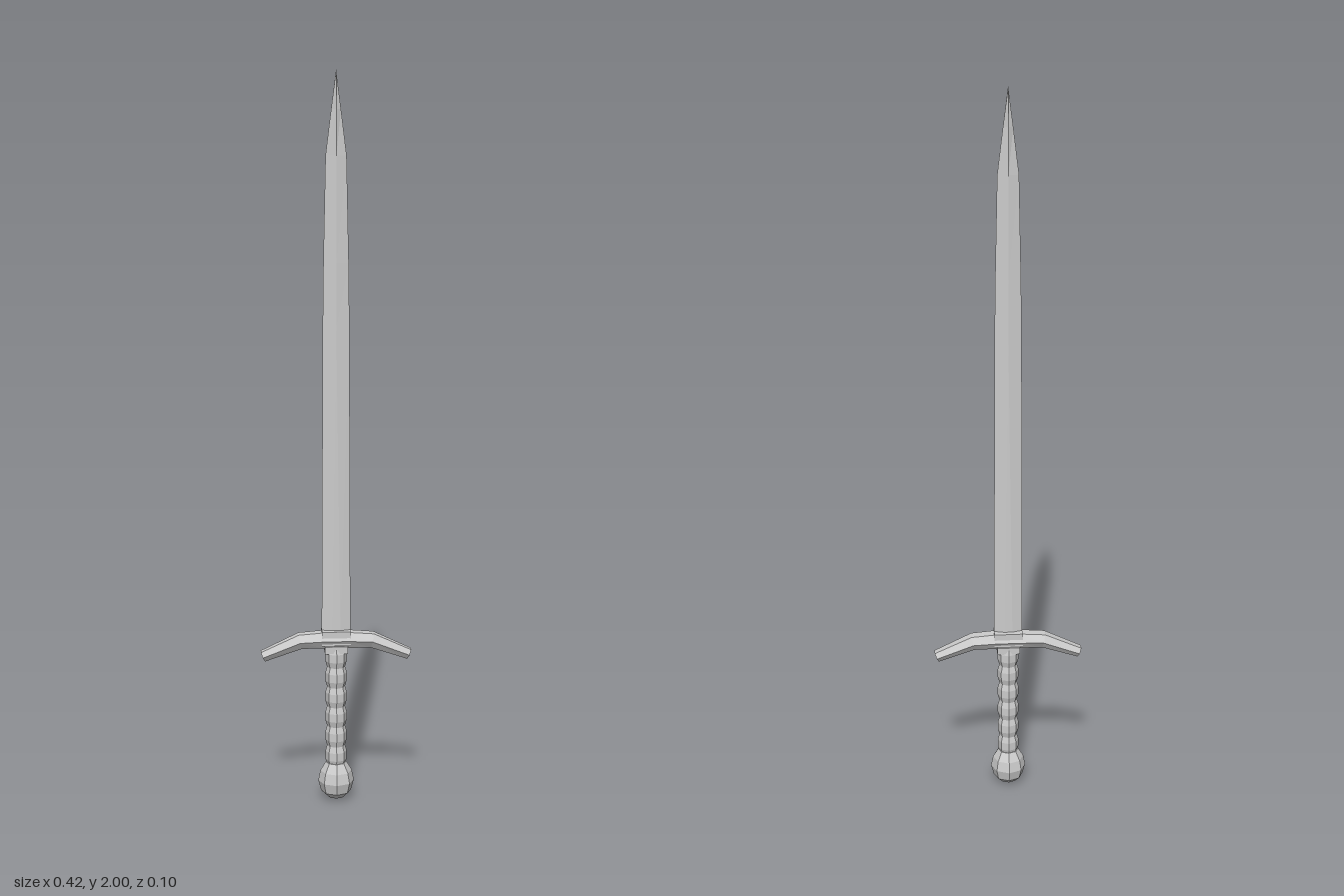
import * as THREE from 'three';

const steel = new THREE.MeshStandardMaterial({ color: 0xcccccc, flatShading: true });

// Skin a list of equal-length point rings and close both ends
function loft(name, rings) {
  const n = rings[0].length;
  const pos = rings.flat(2);
  const idx = [];
  for (let i = 0; i < rings.length - 1; i++) {
    for (let j = 0; j < n; j++) {
      const k = (j + 1) % n;
      const a = i * n + j, b = i * n + k, c = a + n, d = b + n;
      idx.push(a, b, d, a, d, c);
    }
  }
  const last = (rings.length - 1) * n;
  for (let j = 1; j < n - 1; j++) {
    idx.push(0, j + 1, j, last, last + j, last + j + 1);
  }
  const geo = new THREE.BufferGeometry();
  geo.setAttribute('position', new THREE.Float32BufferAttribute(pos, 3));
  geo.setIndex(idx);
  geo.computeVertexNormals();
  const mesh = new THREE.Mesh(geo, steel);
  mesh.name = name;
  return mesh;
}

// Eight-sided turned part from [radius, y] pairs
function turned(name, profile) {
  const points = profile.map(([r, y]) => new THREE.Vector2(r, y));
  const mesh = new THREE.Mesh(new THREE.LatheGeometry(points, 8), steel);
  mesh.name = name;
  return mesh;
}

export function createModel() {
  const sword = new THREE.Group();
  sword.name = 'sword';

  // Blade: y, half width, half width of the central flat, half thickness
  const blade = [
    [0.46, 0.04, 0.012, 0.008],
    [1.33, 0.036, 0, 0.01],
    [1.5, 0.034, 0, 0.01],
    [1.78, 0.028, 0, 0.009],
    [1.9, 0.013, 0, 0.009],
    [2.0, 0, 0, 0.008],
  ];
  sword.add(loft('blade', blade.map(([y, w, f, t]) => [
    [w, y, 0], [f, y, -t], [-f, y, -t], [-w, y, 0], [-f, y, t], [f, y, t],
  ])));

  // Crossguard: x, y, half height, half depth, slope of the bar
  const half = [
    [0.035, 0.464, 0.022, 0.028, 0],
    [0.1, 0.461, 0.02, 0.027, -0.2],
    [0.203, 0.419, 0.014, 0.02, -0.42],
  ];
  const stations = [
    ...half.map(([x, y, h, d, s]) => [-x, y, h, d, -s]).reverse(),
    ...half,
  ];
  sword.add(loft('crossguard', stations.map(([x, y, h, d, s]) => {
    const corners = [[1, -0.52], [1, 0.52], [0, 1], [-1, 0.52], [-1, -0.52], [0, -1]];
    return corners.map(([v, u]) => [
      x - Math.sin(s) * h * v, y + Math.cos(s) * h * v, u * d,
    ]);
  })));

  // Block where the blade meets the guard
  const collar = new THREE.Mesh(new THREE.BoxGeometry(0.08, 0.04, 0.046), steel);
  collar.name = 'collar';
  collar.position.y = 0.47;
  sword.add(collar);

  const ferrule = new THREE.Mesh(new THREE.BoxGeometry(0.064, 0.02, 0.05), steel);
  ferrule.name = 'ferrule';
  ferrule.position.y = 0.438;
  sword.add(ferrule);

  // Grip with six bulges
  const grip = [];
  const bulges = 6, bottom = 0.1, pitch = 0.057;
  for (let i = 0; i < bulges; i++) {
    const y = bottom + i * pitch;
    grip.push([0.025, y], [0.03, y + pitch * 0.3], [0.03, y + pitch * 0.7]);
  }
  grip.push([0.025, bottom + bulges * pitch]);
  sword.add(turned('grip', grip));

  // Faceted pommel
  sword.add(turned('pommel', [
    [0, 0], [0.024, 0.007], [0.042, 0.024], [0.05, 0.054],
    [0.044, 0.083], [0.029, 0.108], [0, 0.11],
  ]));

  return sword;
}
